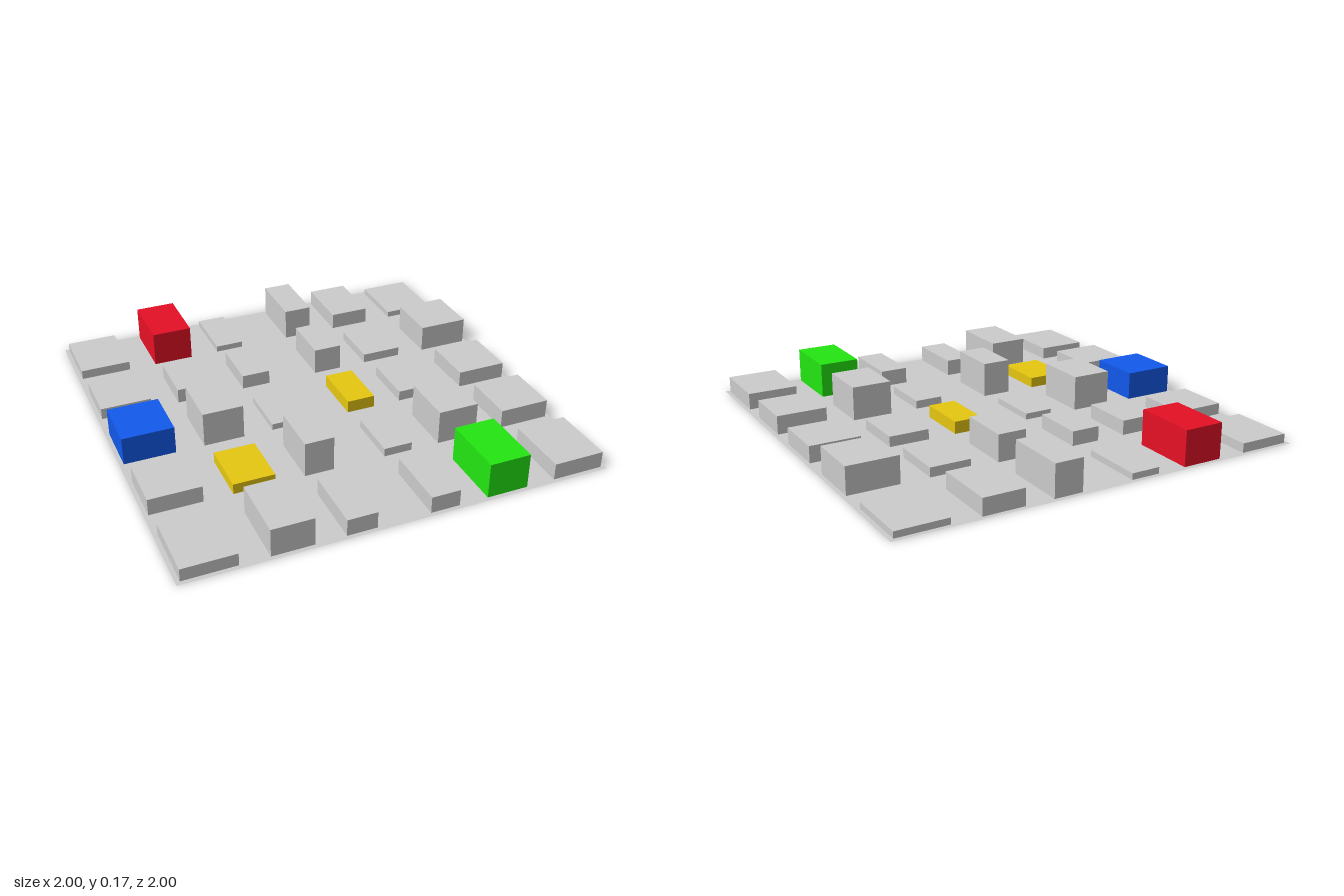
import * as THREE from 'three';

// Block footprints: columns along x, rows along z (back to front)
const columns = [[-0.98, -0.735], [-0.6, -0.405], [-0.265, -0.125], [0.125, 0.263], [0.4, 0.597], [0.735, 0.98]];
const rows = [[-0.98, -0.675], [-0.533, -0.273], [-0.133, 0.13], [0.27, 0.53], [0.67, 0.98]];

// Block heights, one line per row
const heights = [
  [0.045, 0.17, 0.03, 0.155, 0.08, 0.03],
  [0.055, 0.07, 0.07, 0.13, 0.045, 0.13],
  [0.135, 0.168, 0.03, 0.06, 0.05, 0.08],
  [0.08, 0.05, 0.17, 0.04, 0.165, 0.09],
  [0.06, 0.135, 0.08, 0.08, 0.17, 0.08],
];

// Coloured blocks, keyed by row and column
const colors = {
  '0,1': ['red', 0xe51025],
  '2,0': ['blue', 0x1259eb],
  '2,3': ['yellow', 0xe5c710],
  '3,1': ['yellow', 0xe5c710],
  '4,4': ['green', 0x23e612],
};

const material = (color) => new THREE.MeshStandardMaterial({ color, side: THREE.DoubleSide });

// Box standing on the ground with its underside left open
function openBox(w, h, d) {
  const geometry = new THREE.BoxGeometry(w, h, d);
  const index = Array.from(geometry.index.array);
  index.splice(18, 6);
  geometry.setIndex(index);
  geometry.clearGroups();
  return geometry.translate(0, h / 2, 0);
}

export function createModel() {
  const model = new THREE.Group();
  model.name = 'cityBlocks';
  const grey = material(0xcccccc);

  // Ground sheet outline, cut open under every block
  const sheet = new THREE.Shape();
  sheet.moveTo(-1, -1).lineTo(1, -1).lineTo(1, 1).lineTo(-1, 1).closePath();

  rows.forEach(([z0, z1], r) => columns.forEach(([x0, x1], c) => {
    const hole = new THREE.Path();
    hole.moveTo(x0, -z0).lineTo(x1, -z0).lineTo(x1, -z1).lineTo(x0, -z1).closePath();
    sheet.holes.push(hole);

    // Building block
    const tint = colors[`${r},${c}`];
    const block = new THREE.Mesh(openBox(x1 - x0, heights[r][c], z1 - z0), tint ? material(tint[1]) : grey);
    block.name = `${tint ? tint[0] + 'Building' : 'building'}Row${r + 1}Column${c + 1}`;
    block.position.set((x0 + x1) / 2, 0, (z0 + z1) / 2);
    model.add(block);
  }));

  const ground = new THREE.Mesh(new THREE.ShapeGeometry(sheet).rotateX(-Math.PI / 2), grey);
  ground.name = 'groundSheet';
  model.add(ground);
  return model;
}
